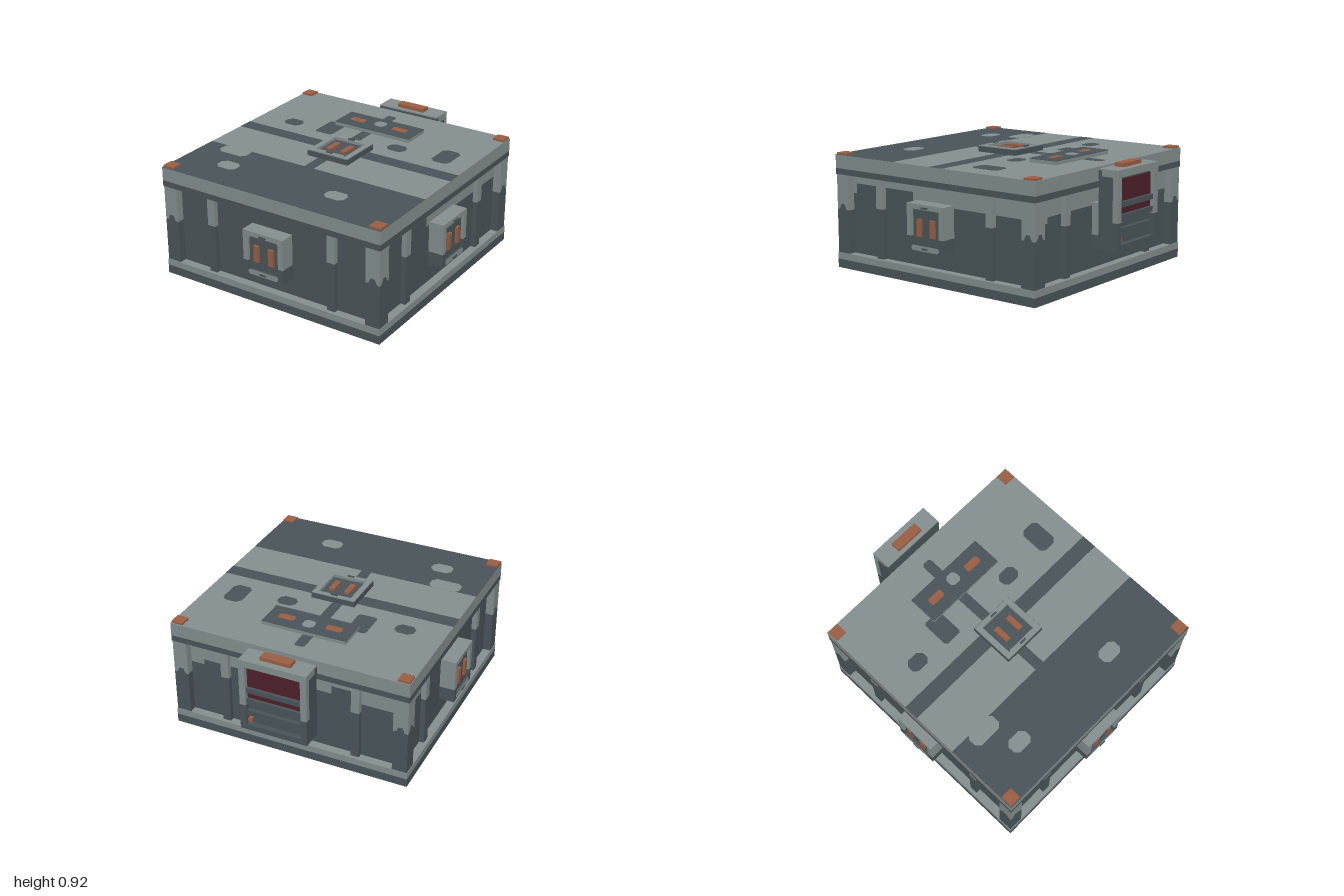
import * as THREE from 'three';

const mat = (name, color) => {
  const m = new THREE.MeshStandardMaterial({ color });
  m.name = name;
  return m;
};

export function createModel() {
  const light = mat('lightSteel', 0x869191);
  const dark = mat('darkSteel', 0x4b565a);
  const orange = mat('orange', 0x9c6044);
  const red = mat('maroon', 0x50222c);

  const CZ = 0.07; // centre of the square crate body
  const H = 0.87; // half width of the crate
  const model = new THREE.Group();
  model.name = 'crate';

  const group = (parent, name) => {
    const g = new THREE.Group();
    g.name = name;
    parent.add(g);
    return g;
  };
  // Box given by its limits on each axis
  const box = (parent, name, m, x0, x1, y0, y1, z0, z1) => {
    const mesh = new THREE.Mesh(new THREE.BoxGeometry(x1 - x0, y1 - y0, z1 - z0), m);
    mesh.position.set((x0 + x1) / 2, (y0 + y1) / 2, (z0 + z1) / 2);
    mesh.name = name;
    parent.add(mesh);
    return mesh;
  };
  // Thin painted plate from an outline, facing local +z
  const paint = (parent, name, m, pts, z) => {
    const shape = new THREE.Shape(pts.map(([x, y]) => new THREE.Vector2(x, y)));
    const mesh = new THREE.Mesh(new THREE.ExtrudeGeometry(shape, { depth: 0.003, bevelEnabled: false }), m);
    mesh.position.z = z;
    mesh.name = name;
    parent.add(mesh);
  };
  // Rectangle outline with cut corners
  const patch = (x0, x1, y0, y1, c = 0.03) => [
    [x0 + c, y0], [x1 - c, y0], [x1, y0 + c], [x1, y1 - c],
    [x1 - c, y1], [x0 + c, y1], [x0, y1 - c], [x0, y0 + c]];

  // Connector: square frame, sunken panel and two bars, front at local z = 0
  const connector = (parent, depth, lower) => {
    const g = group(parent, 'connector');
    const split = -0.06;
    box(g, 'frameTop', light, -0.16, 0.16, 0.125, 0.16, -depth, 0);
    box(g, 'frameBottom', lower, -0.16, 0.16, -0.16, -0.125, -depth, 0);
    paint(g, 'frameSill', light, patch(-0.12, 0.12, -0.155, -0.12, 0.012), 0);
    for (const s of [-1, 1]) {
      const [a, b] = s < 0 ? [-0.16, -0.12] : [0.12, 0.16];
      box(g, 'frameSideUpper', light, a, b, split, 0.125, -depth, 0);
      box(g, 'frameSideLower', lower, a, b, -0.125, split, -depth, 0);
      box(g, 'contactBar', orange, s * 0.058 - 0.02, s * 0.058 + 0.02, -0.06, 0.06, -0.02, -0.003);
      box(g, 'latchNub', dark, -0.025, 0.025, s * 0.138 - 0.006, s * 0.138 + 0.006, -0.01, 0.01);
    }
    box(g, 'connectorPanel', dark, -0.12, 0.12, -0.125, 0.125, -depth, -0.02);
    return g;
  };

  // Body core and rims
  const body = group(model, 'body');
  body.position.z = CZ;
  const slab = (name, m, y0, y1, h = H) => box(body, name, m, -h, h, y0, y1, -h, h);
  slab('bottomRimDark', dark, 0.06, 0.122);
  slab('bottomRimLight', light, 0.122, 0.17);
  slab('walls', dark, 0.17, 0.73, 0.81);
  slab('topRimDark', dark, 0.73, 0.772);
  slab('topRimLight', light, 0.772, 0.868);

  // Corner posts, light above and dark below
  for (const sx of [-1, 1]) for (const sz of [-1, 1]) {
    const p = group(body, 'cornerPost');
    p.position.set(sx * 0.813, 0, sz * 0.813);
    box(p, 'postLower', dark, -0.053, 0.053, 0.17, 0.48, -0.053, 0.053);
    box(p, 'postUpper', light, -0.053, 0.053, 0.48, 0.73, -0.053, 0.053);
  }

  // Worn light paint along the top of each wall, as steps: [x, lower edge]
  const wear = [
    [],
    [[-0.76, 0.6], [-0.73, 0.67], [-0.2, 0.6], [0.76, 0.6]],
    [[-0.76, 0.56], [-0.66, 0.6], [0.3, 0.66], [0.5, 0.58], [0.76, 0.58]],
    [[-0.76, 0.58], [-0.44, 0.62], [-0.1, 0.62]],
  ];
  // Four equal sides
  wear.forEach((steps, k) => {
    const side = group(body, ['frontSide', 'leftSide', 'backSide', 'rightSide'][k]);
    side.rotation.y = k * Math.PI / 2;
    for (const s of [-1, 1]) {
      const x = s * 0.483;
      box(side, 'ribLower', dark, x - 0.03, x + 0.03, 0.17, 0.52, 0.8, 0.845);
      box(side, 'ribUpper', light, x - 0.03, x + 0.03, 0.52, 0.73, 0.8, 0.845);
      const c = s * 0.813;
      paint(side, 'postWear', dark, [[c - 0.05, 0.48], [c + 0.05, 0.48], [c + 0.03, 0.485],
        [c + 0.015, 0.52], [c - 0.015, 0.52], [c - 0.03, 0.485]], 0.8655);
    }
    if (steps.length) {
      const low = [];
      for (let i = 0; i < steps.length - 1; i++) low.push(steps[i], [steps[i + 1][0], steps[i][1]]);
      const end = steps[steps.length - 1][0];
      paint(side, 'wallWear', light, [...low, [end, 0.73], [steps[0][0], 0.73]], 0.809);
    }
    connector(side, 0.11, dark).position.set(0, 0.46, 0.92);
  });

  // Painted top: local y runs towards the back
  const deck = group(model, 'topPaint');
  deck.rotation.x = -Math.PI / 2;
  deck.position.y = 0.866;
  const top = (m, x0, x1, z0, z1, c, lift = 0) => paint(deck, 'topPatch', m, patch(x0, x1, -z1, -z0, c), lift);
  top(dark, -H, H, 0.4, 0.94, 0.001);
  top(dark, -H, H, -0.04, 0.07, 0.001);
  top(dark, -0.075, 0, -0.69, 0.41, 0.015, 0.0005);
  top(dark, -0.66, -0.52, -0.26, -0.155);
  top(dark, -0.37, -0.23, -0.37, -0.155, 0.015);
  top(dark, 0.22, 0.36, -0.26, -0.155);
  top(dark, 0.58, 0.72, -0.37, -0.155);
  top(light, -0.735, -0.51, 0.39, 0.51, 0.03, 0.002);
  top(light, -0.59, -0.435, 0.615, 0.725, 0.03, 0.002);
  top(light, 0.285, 0.44, 0.615, 0.725, 0.03, 0.002);

  // Orange corner pads
  for (const x of [-0.823, 0.823]) for (const z of [-0.75, 0.89])
    box(model, 'cornerPad', orange, x - 0.042, x + 0.042, 0.86, 0.882, z - 0.042, z + 0.042);

  // Raised plate on the top
  const plate = group(model, 'topPlate');
  box(plate, 'plateBase', light, -0.31, 0.31, 0.86, 0.893, -0.55, -0.33);
  box(plate, 'plateFace', dark, -0.31, 0.31, 0.893, 0.897, -0.55, -0.33);
  top(light, -0.043, 0.043, -0.5, -0.415, 0.02, 0.03);
  top(orange, -0.237, -0.12, -0.47, -0.413, 0.01, 0.03);
  top(orange, 0.112, 0.23, -0.47, -0.413, 0.01, 0.03);

  // Top and bottom connectors
  const up = connector(model, 0.05, light);
  up.rotation.x = -Math.PI / 2;
  up.position.set(0, 0.912, CZ);
  const down = connector(model, 0.06, light);
  down.rotation.x = Math.PI / 2;
  down.position.set(0, 0.01, CZ);
  // Dark skirts around both connectors
  for (const s of [-1, 1]) for (const [y0, y1] of [[0.868, 0.907], [0.015, 0.06]]) {
    const [a, b] = s < 0 ? [-0.163, -0.159] : [0.159, 0.163];
    box(model, 'connectorSkirt', dark, a, b, y0, y1, CZ - 0.163, CZ + 0.163);
    box(model, 'connectorSkirt', dark, -0.163, 0.163, y0, y1, CZ + a, CZ + b);
  }

  // Control unit on the back
  const unit = group(model, 'controlUnit');
  box(unit, 'unitBody', dark, -0.245, 0.245, 0.33, 0.82, -0.96, -0.85);
  box(unit, 'unitCap', light, -0.245, 0.245, 0.82, 0.87, -1, -0.85);
  box(unit, 'unitSill', dark, -0.245, 0.245, 0.33, 0.37, -1, -0.96);
  box(unit, 'unitCapTrim', dark, -0.247, 0.247, 0.8, 0.86, -0.875, -0.848);
  box(unit, 'topButton', orange, -0.11, 0.11, 0.865, 0.896, -0.95, -0.88);
  for (const s of [-1, 1]) {
    const [a, b] = s < 0 ? [-0.245, -0.2] : [0.2, 0.245];
    box(unit, 'unitCheekUpper', light, a, b, 0.52, 0.82, -1, -0.96);
    box(unit, 'unitCheekLower', dark, a, b, 0.37, 0.52, -1, -0.96);
  }
  // Maroon screen, slats and small lamps
  box(unit, 'screen', red, -0.2, 0.2, 0.55, 0.8, -0.968, -0.96);
  for (const y of [0.635, 0.55, 0.46])
    box(unit, 'slat', dark, -0.2, 0.2, y - 0.018, y + 0.018, -0.99, -0.96);
  box(unit, 'lamp', orange, 0.165, 0.195, 0.385, 0.415, -0.985, -0.96);
  box(unit, 'lamp', orange, -0.235, -0.21, 0.76, 0.785, -1, -0.99).position.z -= 0.0;

  return model;
}
